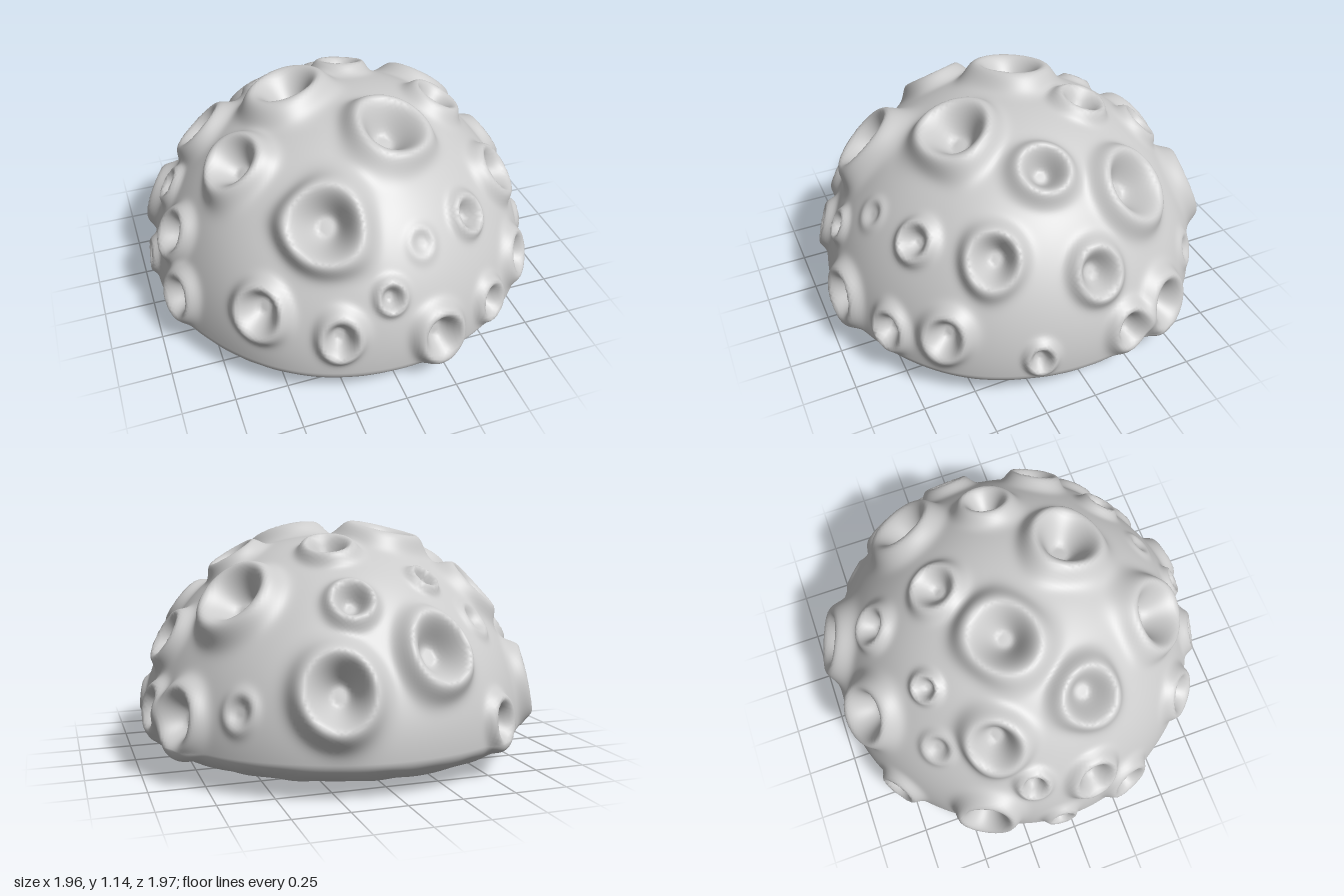
import * as THREE from 'three';
import { mergeVertices } from 'three/addons/utils/BufferGeometryUtils.js';

// Dome proportions: an ellipsoid above the waist, a flattened belly below it
const RADIUS = 0.945, WAIST = 0.175, HEIGHT = 0.9, BELLY = 0.165;

// Rings of cups by height; each cup is [bearing from the front in degrees, rim radius, strength]
const RINGS = [
  { y: 1.045, cups: [[-117, 0.2]] },
  { y: 1.01, cups: [[23, 0.2], [158, 0.13]] },
  { y: 0.945, cups: [[85, 0.145]] },
  { y: 0.88, cups: [[-72, 0.165], [-152, 0.08]] },
  { y: 0.805, cups: [[-23, 0.2], [-116, 0.16], [122, 0.19], [169, 0.11]] },
  { y: 0.7, cups: [[33, 0.1], [11, 0.08, 0.3], [62, 0.14], [-137, 0.09, 0.5]] },
  { y: 0.6, cups: [[94, 0.13], [-102, 0.09], [-165, 0.175]] },
  { y: 0.53, cups: [[-3, 0.075], [-82, 0.125]] },
  { y: 0.46, cups: [[164, 0.19], [-41, 0.13]] },
  { y: 0.37, cups: [[137, 0.09, 0.4], [-117, 0.16], [49, 0.12], [-18, 0.11]] },
  { y: 0.3, cups: [[-71, 0.12], [11, 0.13], [102, 0.115], [117, 0.14], [31, 0.1]] },
  { y: 0.27, cups: [[75, 0.075], [-146, 0.11], [-94, 0.08]] },
];

// Point on the plain dome for a unit direction; the flanks are slightly leaner than an ellipsoid
function domePoint(d) {
  const above = d.y >= 0, h2 = Math.max(1 - d.y * d.y, 1e-6);
  const spread = RADIUS * (above ? 1 - 0.1 * d.y * d.y * h2 : Math.pow(h2, -0.25));
  return new THREE.Vector3(d.x * spread, WAIST + d.y * (above ? HEIGHT : BELLY), d.z * spread);
}

// Outward normal of the plain dome
function domeNormal(d) {
  const ry = d.y >= 0 ? HEIGHT : BELLY;
  return new THREE.Vector3(d.x / RADIUS, d.y / ry, d.z / RADIUS).normalize();
}

// Place one cup on the dome
function placeCup(y, [bearing, radius, strength = 1]) {
  const polar = Math.acos((y - WAIST) / HEIGHT);
  const dir = new THREE.Vector3().setFromSphericalCoords(1, polar, THREE.MathUtils.degToRad(bearing));
  return { centre: domePoint(dir), radius, strength };
}

// Height of a cup across its radius: hollow floor, rounded rim, soft outer skirt
function cupProfile(t) {
  const crest = 0.77, rim = 0.4, floor = -0.36;
  if (t > crest) return rim * Math.exp(-(((t - crest) / 0.3) ** 2));
  return THREE.MathUtils.lerp(floor, rim, THREE.MathUtils.smoothstep(t, 0.2, crest));
}

// Surface lift one cup gives at a dome point; cups are taller than wide and wobble off round
function cupLift(cup, p, index) {
  const { centre, radius, strength } = cup;
  const distance = Math.hypot(p.x - centre.x, (p.y - centre.y) / 1.2, p.z - centre.z);
  const wobble = 1 + 0.07 * Math.sin(11 * p.x + 9 * p.y - 10 * p.z + index * 2.3);
  return radius * strength * cupProfile(distance * wobble / radius);
}

function createBody() {
  const sphere = new THREE.IcosahedronGeometry(1, 72);
  sphere.deleteAttribute('uv');
  sphere.deleteAttribute('normal');
  const geometry = mergeVertices(sphere, 1e-5);
  const pos = geometry.attributes.position;
  const cups = RINGS.flatMap(({ y, cups }) => cups.map((cup) => placeCup(y, cup)));

  const d = new THREE.Vector3();
  for (let i = 0; i < pos.count; i++) {
    d.fromBufferAttribute(pos, i).normalize();
    const p = domePoint(d);
    const side = THREE.MathUtils.smoothstep(d.y, -0.6, 0);

    // Cups and a slight unevenness push the dome along its normal
    const uneven = 0.008 * Math.sin(6 * p.x + 2 * p.y) * Math.sin(5 * p.z + 4 * p.y + 1);
    const lift = cups.reduce((sum, cup, k) => sum + cupLift(cup, p, k), 0);
    // Rough scaly underside
    const rough = Math.sin(14 * p.x + 3 * Math.sin(9 * p.z)) * Math.sin(23 * p.z + 2 * Math.sin(8 * p.x));

    p.addScaledVector(domeNormal(d), side * (uneven + lift));
    p.y += 0.005 * rough * (1 - side);
    pos.setXYZ(i, p.x, p.y, p.z);
  }
  geometry.computeVertexNormals();
  return geometry;
}

export function createModel() {
  const group = new THREE.Group();
  group.name = 'coralDome';
  const body = new THREE.Mesh(createBody(), new THREE.MeshStandardMaterial({ color: 0xcccccc }));
  body.name = 'crateredBody';
  group.add(body);
  return group;
}
